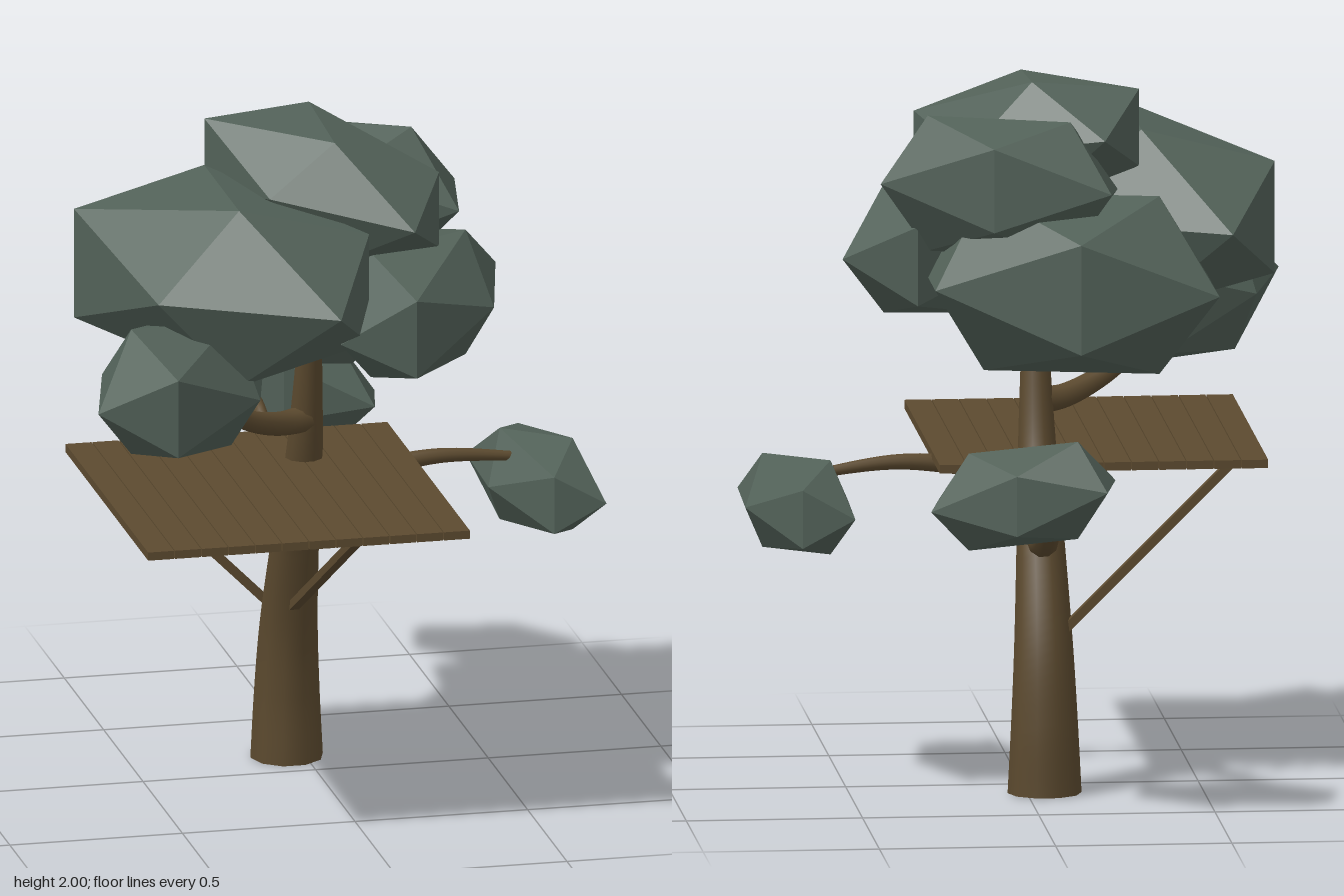
import * as THREE from 'three';

const wood = new THREE.MeshStandardMaterial({ color: 0x5c4a2f, side: THREE.DoubleSide });
const leaves = new THREE.MeshStandardMaterial({ color: 0x526158, flatShading: true });
const V = (p) => new THREE.Vector3(...p);

function add(group, name, geometry, material) {
  const mesh = new THREE.Mesh(geometry, material);
  mesh.name = name;
  group.add(mesh);
  return mesh;
}

// Tapered limb along a smooth path, open at the root, closing in a rounded tip
function limb(points, r0, r1, sides, segments = 24) {
  const curve = new THREE.CatmullRomCurve3(points.map(V));
  const geo = new THREE.TubeGeometry(curve, segments, 1, sides);
  const pos = geo.attributes.position;
  const v = new THREE.Vector3();
  for (let i = 0; i <= segments; i++) {
    const t = i / segments;
    const c = curve.getPointAt(t);
    const left = (1 - t) * curve.getLength() / r1;
    const tip = left < 1 ? Math.sqrt(1 - (1 - left) ** 2) : 1;
    const r = THREE.MathUtils.lerp(r0, r1, t) * tip;
    for (let j = 0; j <= sides; j++) {
      const k = i * (sides + 1) + j;
      v.fromBufferAttribute(pos, k).sub(c).multiplyScalar(r).add(c);
      pos.setXYZ(k, v.x, v.y, v.z);
    }
  }
  return geo;
}

// Faceted leaf clump: turned icosahedron, skewed to slant it, then fitted to a box
function clump(min, max, tip, turn, [xz, xy, zy]) {
  const geo = new THREE.IcosahedronGeometry(1, 0);
  geo.rotateX(tip).rotateY(turn);
  geo.applyMatrix4(new THREE.Matrix4().set(1, 0, 0, 0, xy, 1, zy, 0, xz, 0, 1, 0, 0, 0, 0, 1));
  geo.computeBoundingBox();
  const size = geo.boundingBox.getSize(new THREE.Vector3());
  const mid = geo.boundingBox.getCenter(new THREE.Vector3());
  const lo = V(min), hi = V(max);
  const s = hi.clone().sub(lo).divide(size);
  const c = lo.add(hi).multiplyScalar(0.5);
  geo.translate(-mid.x, -mid.y, -mid.z).scale(s.x, s.y, s.z).translate(c.x, c.y, c.z);
  geo.computeVertexNormals();
  return geo;
}

// Square timber between two points
function brace(group, a, b) {
  const from = V(a), to = V(b);
  const mesh = add(group, 'brace', new THREE.BoxGeometry(0.028, 0.024, from.distanceTo(to)), wood);
  mesh.position.copy(from).add(to).multiplyScalar(0.5);
  mesh.lookAt(to);
}

export function createModel() {
  const model = new THREE.Group();
  model.name = 'treeWithPlatform';

  // Leaning trunk
  add(model, 'trunk', limb([
    [-0.05, 0, -0.15], [-0.05, 0.2, -0.148], [-0.05, 0.4, -0.125], [-0.05, 0.65, -0.05],
    [-0.05, 0.95, 0.07], [-0.05, 1.34, 0.15],
  ], 0.105, 0.034, 10, 48), wood);

  // Branches
  const branches = {
    rightBranch: [[[-0.05, 1.08, 0.11], [-0.12, 1.08, 0.15], [-0.22, 1.11, 0.22], [-0.31, 1.16, 0.28], [-0.4, 1.24, 0.36]], 0.04, 0.02],
    leftBranch: [[[-0.05, 0.9, 0.05], [0.1, 0.9, 0.07], [0.35, 0.92, 0.05], [0.62, 0.89, 0.02]], 0.037, 0.012],
    backBranch: [[[-0.05, 0.7, -0.03], [-0.05, 0.72, -0.15], [-0.05, 0.79, -0.3], [-0.05, 0.92, -0.5], [-0.05, 0.94, -0.6]], 0.047, 0.014],
  };
  for (const [name, [path, r0, r1]] of Object.entries(branches)) add(model, name, limb(path, r0, r1, 10), wood);

  // Plank deck
  const deck = new THREE.Group();
  deck.name = 'deck';
  model.add(deck);
  const planks = 12, pitch = 0.935 / planks;
  for (let i = 0; i < planks; i++) {
    const plank = add(deck, 'plank', new THREE.BoxGeometry(pitch - 0.003, 0.024, 1.05), wood);
    plank.position.set(-0.682 + (i + 0.5) * pitch, 0.94, 0.332);
  }

  // Diagonal supports
  brace(model, [-0.055, 0.47, -0.05], [-0.055, 0.935, 0.8]);
  brace(model, [-0.09, 0.445, -0.13], [-0.58, 0.935, -0.14]);

  // Foliage: [min corner, max corner, tip, turn, skew]
  const foliage = new THREE.Group();
  foliage.name = 'foliage';
  model.add(foliage);
  const quarter = Math.PI / 2;
  [
    [[-0.73, 1.33, -0.15], [0.03, 1.85, 0.83], quarter, 0, [0.58, 0, 0]],
    [[-0.34, 1.62, -0.13], [0.27, 2.0, 0.59], quarter, 0, [0.58, -0.3, -0.1]],
    [[-0.07, 1.28, 0.04], [0.5, 1.67, 0.68], 0, -0.31, [-0.58, 0.1, 0]],
    [[-0.8, 1.12, 0.17], [-0.2, 1.51, 0.8], 0, -0.31, [-0.58, -0.1, 0]],
    [[-0.53, 1.19, -0.35], [0.26, 1.7, 0.22], 0, 0, [0.3, 0, 0]],
    [[-0.27, 1.52, -0.25], [0.4, 1.91, 0.24], 0, -0.1, [0.55, 0, -0.1]],
    [[0.49, 0.68, -0.28], [0.79, 0.95, 0.27], 0, -0.05, [0.37, 0, 0]],
    [[-0.2, 0.78, -0.86], [0.32, 1.11, -0.48], 0, -0.13, [0.55, -0.3, 0]],
  ].forEach((c) => add(foliage, 'leafClump', clump(...c), leaves));

  return model;
}
